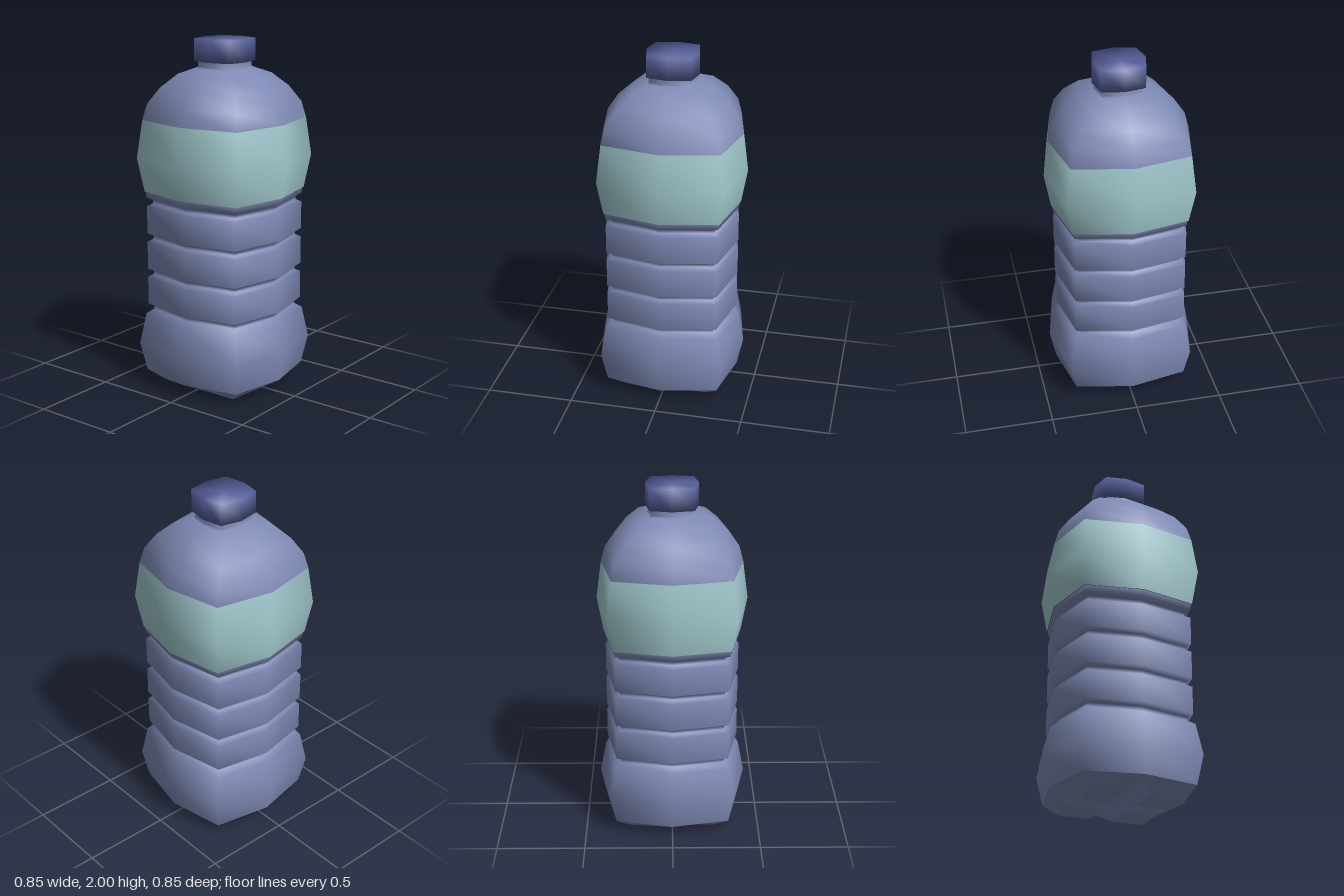
import * as THREE from 'three';
import { mergeGeometries, toCreasedNormals } from 'three/addons/utils/BufferGeometryUtils.js';

const SIDES = 8;
const CORNER = 0.83 * Math.SQRT2; // corners of the rounded-square section

// Smooth loft of the eight-sided section through [radius, y] pairs, bottom to top
function loft(profile) {
  const pos = [], index = [];
  profile.forEach(([r, y], j) => {
    for (let i = 0; i < SIDES; i++) {
      const a = (i / SIDES) * Math.PI * 2;
      const d = i % 2 ? r * CORNER : r;
      pos.push(d * Math.cos(a), y, d * Math.sin(a));
      if (j === profile.length - 1) continue;
      const n = (i + 1) % SIDES, lo = j * SIDES, hi = lo + SIDES;
      if (profile[j + 1][0] > 0) index.push(lo + i, hi + i, hi + n);
      if (r > 0) index.push(lo + i, hi + n, lo + n);
    }
  });
  const g = new THREE.BufferGeometry();
  g.setAttribute('position', new THREE.Float32BufferAttribute(pos, 3));
  g.setIndex(index);
  g.computeVertexNormals();
  return g;
}

// One quarter of the underside: a flat foot between two V-shaped channels
function footQuarter() {
  const c = [0, 0.07, 0], a = [0.39, 0.07, 0], d = [0.324, 0.07, 0.324], b = [0, 0.07, 0.39];
  const p = [0.07, 0, 0.07], q = [0.25, 0, 0.07], s = [0.25, 0, 0.25], t = [0.07, 0, 0.25];
  const quads = [[p, q, s, t], [a, d, s, q], [d, b, t, s], [c, a, q, p], [b, c, p, t]];
  const pos = quads.flatMap(([k, l, m, n]) => [k, l, m, k, m, n]).flat();
  const g = new THREE.BufferGeometry();
  g.setAttribute('position', new THREE.Float32BufferAttribute(pos, 3));
  return g;
}

export function createModel() {
  const group = new THREE.Group();
  const plastic = new THREE.MeshStandardMaterial({ color: 0x7f8ab5 });
  const teal = new THREE.MeshStandardMaterial({ color: 0xa3cbd0 });
  const navy = new THREE.MeshStandardMaterial({ color: 0x555e98 });
  const add = (name, geometry, material) => {
    const mesh = new THREE.Mesh(geometry, material);
    mesh.name = name;
    group.add(mesh);
  };

  // Underside with four feet
  const quarters = [0, 1, 2, 3].map((k) => footQuarter().rotateY((k * Math.PI) / 2));
  add('feet', toCreasedNormals(mergeGeometries(quarters), 0.65), plastic);

  // Bulging base, then bands separated by grooves
  const body = [[0.39, 0.07], [0.425, 0.235], [0.39, 0.415]];
  [0.45, 0.66, 0.87, 1.08].forEach((y, k) => {
    if (k > 0) body.push([0.38, y - 0.025]);
    body.push([0.35, y - 0.01], [0.35, y + 0.01], [0.38, y + 0.025]);
  });
  body.push([0.385, 1.14]);
  add('body', loft(body), plastic);

  // Wrap-around label
  add('label', loft([[0.39, 1.14], [0.425, 1.335], [0.396, 1.55]]), teal);

  // Domed shoulder and neck
  add('shoulder', loft([[0.396, 1.55], [0.372, 1.64], [0.31, 1.73], [0.225, 1.805], [0.14, 1.838]]), plastic);
  add('neck', loft([[0.14, 1.838], [0.128, 1.845], [0.128, 1.885]]), plastic);

  // Screw cap
  add('cap', loft([[0, 1.875], [0.147, 1.875], [0.147, 2], [0, 2]]), navy);
  return group;
}
